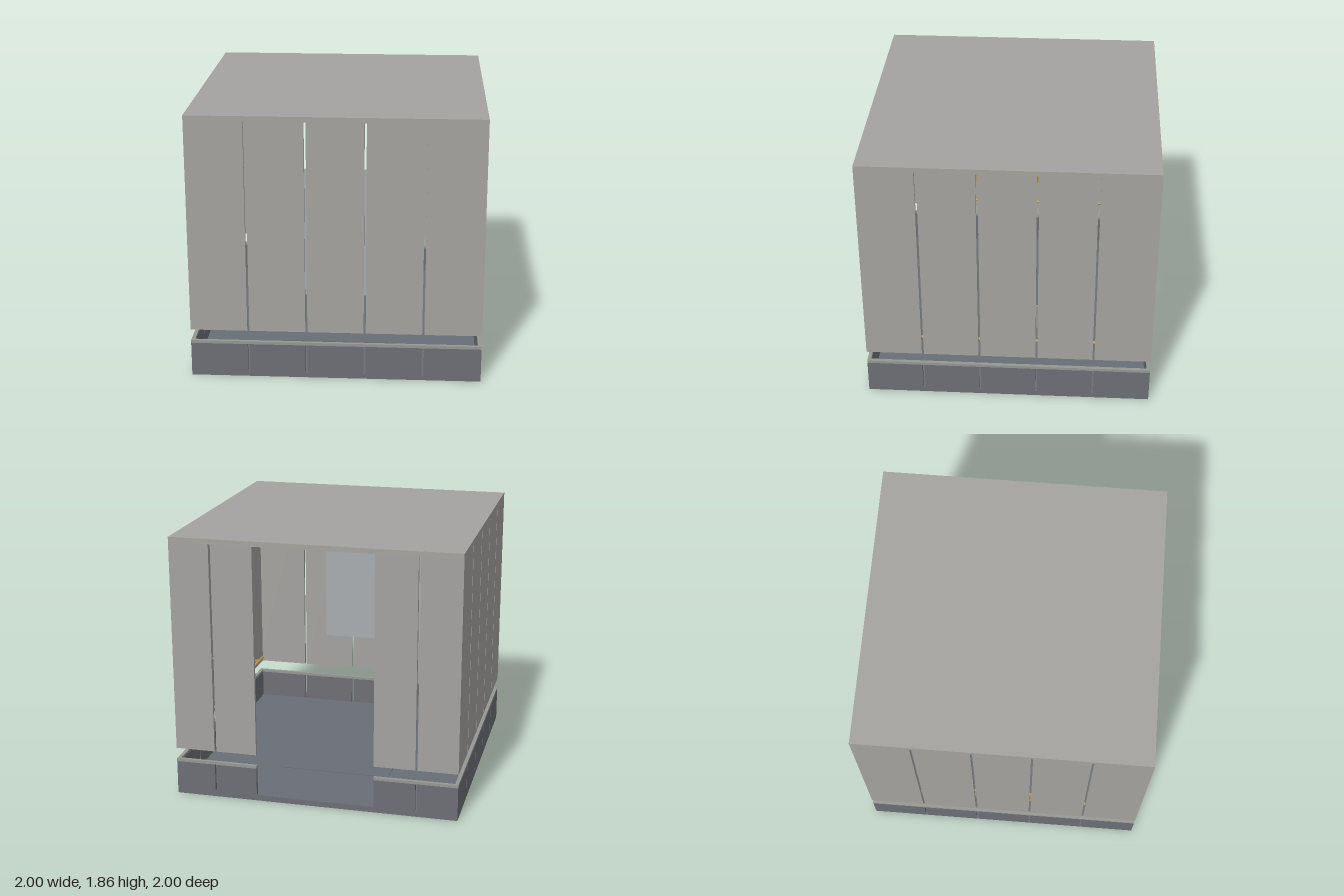
import * as THREE from 'three';

const mat = (name, color) => {
  const m = new THREE.MeshStandardMaterial({ color });
  m.name = name;
  return m;
};

export function createModel() {
  const wallGrey = mat('wall grey', 0xa5a3a0);
  const baseGrey = mat('base grey', 0x6e6f75);
  const floorGrey = mat('floor blue grey', 0x696e75);
  const trimGrey = mat('trim grey', 0x969894);
  const gold = mat('brushed gold', 0xb59a55);
  const mirrorGrey = mat('mirror grey', 0xa9adb0);

  const model = new THREE.Group();
  model.name = 'liftCabin';
  const T = 0.025;    // panel thickness
  const GAP = 0.014;  // slit between panels

  // box given by its lower and upper corners
  function box(name, material, [x0, y0, z0], [x1, y1, z1], parent = model) {
    const mesh = new THREE.Mesh(new THREE.BoxGeometry(x1 - x0, y1 - y0, z1 - z0), material);
    mesh.position.set((x0 + x1) / 2, (y0 + y1) / 2, (z0 + z1) / 2);
    mesh.name = name;
    parent.add(mesh);
    return mesh;
  }

  // floor slab, inlay and roof
  box('floorSlab', baseGrey, [-1, 0, -1], [1, 0.037, 1]);
  box('floorCovering', floorGrey, [-0.97, 0.037, -0.999], [0.97, 0.04, 0.97]);
  box('floorMat', floorGrey, [-0.415, 0.04, -0.49], [0.415, 0.045, 0.49]);
  box('roof', wallGrey, [-1, 1.825, -1], [1, 1.86, 1]);

  // one wall in its own frame: u runs along it, the outer face is at z = 1
  function wall(name, spans, trims, angle) {
    const group = new THREE.Group();
    group.name = name;
    for (const [a, b] of spans) {
      box('lowerPanel', baseGrey, [a, 0.037, 1 - T], [b, 0.24, 1], group);
      box('upperPanel', wallGrey, [a, 0.34, 1 - T], [b, 1.825, 1], group);
    }
    for (const [a, b] of trims) {
      box('ledgeTrim', trimGrey, [a, 0.24, 1 - T], [b, 0.26, 1], group);
    }
    group.rotation.y = angle;
    model.add(group);
  }

  // five equal panels, shortened at the ends by "inset"
  function fivePanels(inset) {
    const spans = [];
    for (let i = 0; i < 5; i++) {
      const a = -1 + i * 0.4;
      spans.push([i === 0 ? a + inset : a + GAP / 2, i === 4 ? 1 - inset : a + 0.4 - GAP / 2]);
    }
    return spans;
  }

  wall('frontWall', fivePanels(0), [[-1, 1]], 0);
  for (const s of [-1, 1]) {
    wall(s > 0 ? 'leftWall' : 'rightWall', fivePanels(T), [[-1 + T, 1 - T]], s * Math.PI / 2);
  }

  // back wall with the open doorway in the middle
  wall('backWall',
    [[-1, -0.72], [-0.706, -0.417], [0.417, 0.706], [0.72, 1]],
    [[-1, -0.417], [0.417, 1]], Math.PI);

  // handrails along both side walls
  for (const s of [-1, 1]) {
    const rail = new THREE.Mesh(new THREE.CylinderGeometry(0.011, 0.011, 1.6, 16), gold);
    rail.rotation.x = Math.PI / 2;
    rail.position.set(s * 0.92, 0.43, 0);
    rail.name = 'handrail';
    model.add(rail);
    for (const z of [-0.7, 0, 0.7]) {
      const xs = [s * 0.92, s * (1 - T)].sort((a, b) => a - b);
      box('railBracket', gold, [xs[0], 0.423, z - 0.007], [xs[1], 0.437, z + 0.007]);
    }
  }

  // gold plate on one side wall, grey control plate on the other
  box('goldPlate', gold, [-1 + T, 0.59, -0.42], [-0.96, 0.77, 0.42]);
  box('controlPlate', trimGrey, [0.96, 0.59, -0.5], [1 - T, 0.77, -0.18]);

  // mirror on the inside of the front wall
  box('mirror', mirrorGrey, [-0.42, 0.61, 0.965], [0.42, 1.5, 1 - T]);

  // thin frame under the ceiling
  const X = 0.55, Z = 0.38, W = 0.025;
  for (const s of [-1, 1]) {
    const z = s * (Z - W / 2), x = s * (X - W / 2);
    box('ceilingFrameLong', trimGrey, [-X, 1.8, z - W / 2], [X, 1.825, z + W / 2]);
    box('ceilingFrameShort', trimGrey, [x - W / 2, 1.8, -Z + W], [x + W / 2, 1.825, Z - W]);
  }

  return model;
}
